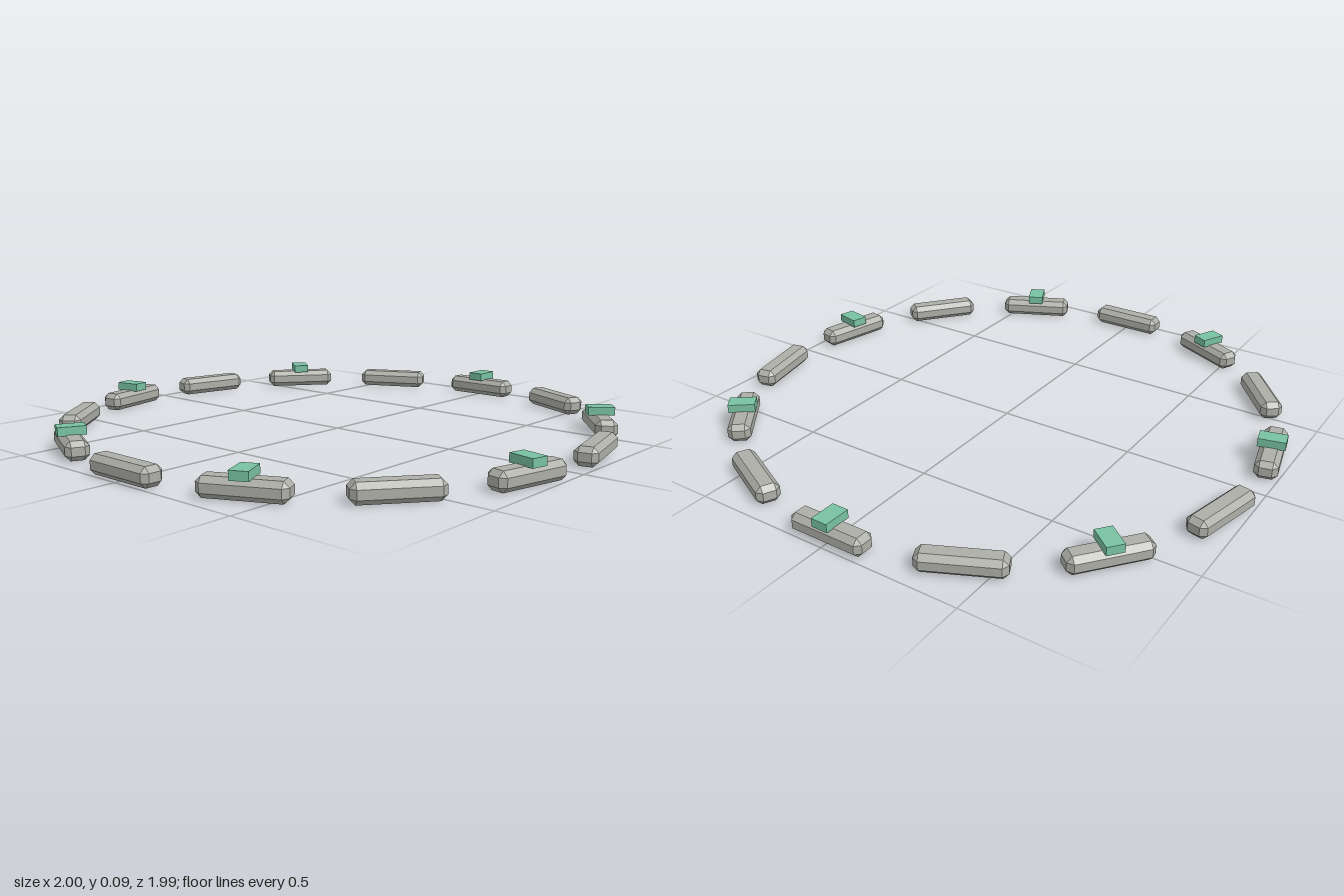
import * as THREE from 'three';
import { ConvexGeometry } from 'three/addons/geometries/ConvexGeometry.js';

// Box with every edge cut by a chamfer c, base on y = 0
function chamferedBox(w, h, d, c) {
  const points = [];
  for (const sx of [-1, 1]) for (const sy of [-1, 1]) for (const sz of [-1, 1]) {
    for (let axis = 0; axis < 3; axis++) {
      const inset = [c, c, c];
      inset[axis] = 0;
      points.push(new THREE.Vector3(
        sx * (w / 2 - inset[0]),
        h / 2 + sy * (h / 2 - inset[1]),
        sz * (d / 2 - inset[2])));
    }
  }
  return new ConvexGeometry(points);
}

export function createModel() {
  const stone = new THREE.MeshStandardMaterial({ color: 0xaeaea8 });
  stone.name = 'stone grey';
  const jade = new THREE.MeshStandardMaterial({ color: 0x78c2a2 });
  jade.name = 'jade green';

  const COUNT = 14, RADIUS = 0.955, HEIGHT = 0.066;
  const stoneGeometry = chamferedBox(0.08, HEIGHT, 0.28, 0.018);
  const capGeometry = new THREE.BoxGeometry(0.095, 0.03, 0.06);

  const model = new THREE.Group();
  model.name = 'stoneRing';

  for (let i = 0; i < COUNT; i++) {
    // Each segment lies tangent to the ring
    const angle = (i / COUNT) * Math.PI * 2;
    const segment = new THREE.Group();
    segment.name = `segment${i + 1}`;
    segment.position.set(Math.cos(angle) * RADIUS - 0.004, 0, -Math.sin(angle) * RADIUS);
    segment.rotation.y = angle;

    const block = new THREE.Mesh(stoneGeometry, stone);
    block.name = 'stoneBlock';
    segment.add(block);

    // Every second stone carries a green inlay cap
    if (i % 2 === 0) {
      const cap = new THREE.Mesh(capGeometry, jade);
      cap.name = 'greenCap';
      cap.position.y = HEIGHT + 0.0125;
      segment.add(cap);
    }
    model.add(segment);
  }
  return model;
}
